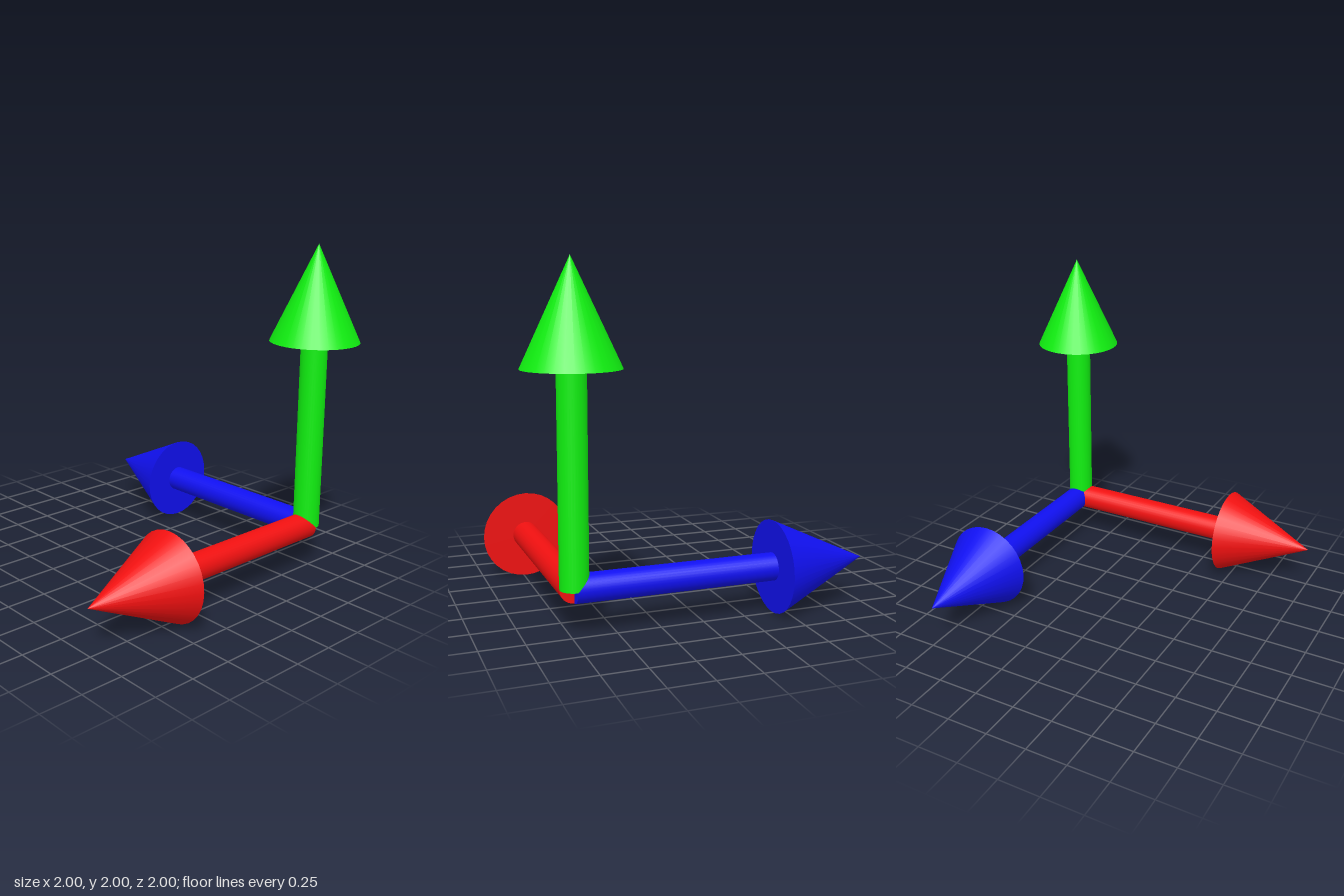
import * as THREE from 'three';

const SHAFT_LENGTH = 1.16, SHAFT_RADIUS = 0.08;
const HEAD_LENGTH = 0.573, HEAD_RADIUS = 0.267;
const SIDES = 32;

// One arrow pointing along +y from its own origin: shaft plus cone head
function makeArrow(name, color) {
  const material = new THREE.MeshStandardMaterial({ color });
  const arrow = new THREE.Group();
  arrow.name = name;

  const shaft = new THREE.Mesh(
    new THREE.CylinderGeometry(SHAFT_RADIUS, SHAFT_RADIUS, SHAFT_LENGTH, SIDES), material);
  shaft.name = name + 'Shaft';
  shaft.position.y = SHAFT_LENGTH / 2;

  const head = new THREE.Mesh(new THREE.ConeGeometry(HEAD_RADIUS, HEAD_LENGTH, SIDES), material);
  head.name = name + 'Head';
  head.position.y = SHAFT_LENGTH + HEAD_LENGTH / 2;

  arrow.add(shaft, head);
  return arrow;
}

export function createModel() {
  const model = new THREE.Group();
  model.name = 'axisArrows';

  // Three perpendicular arrows sharing one corner
  const up = makeArrow('upArrow', 0x10f010);
  const forward = makeArrow('forwardArrow', 0xf01010);
  forward.rotation.x = Math.PI / 2;
  const side = makeArrow('sideArrow', 0x1010f0);
  side.rotation.z = Math.PI / 2;

  for (const arrow of [up, forward, side]) {
    arrow.position.set(0.733, 0.267, -0.733);
    model.add(arrow);
  }
  return model;
}
